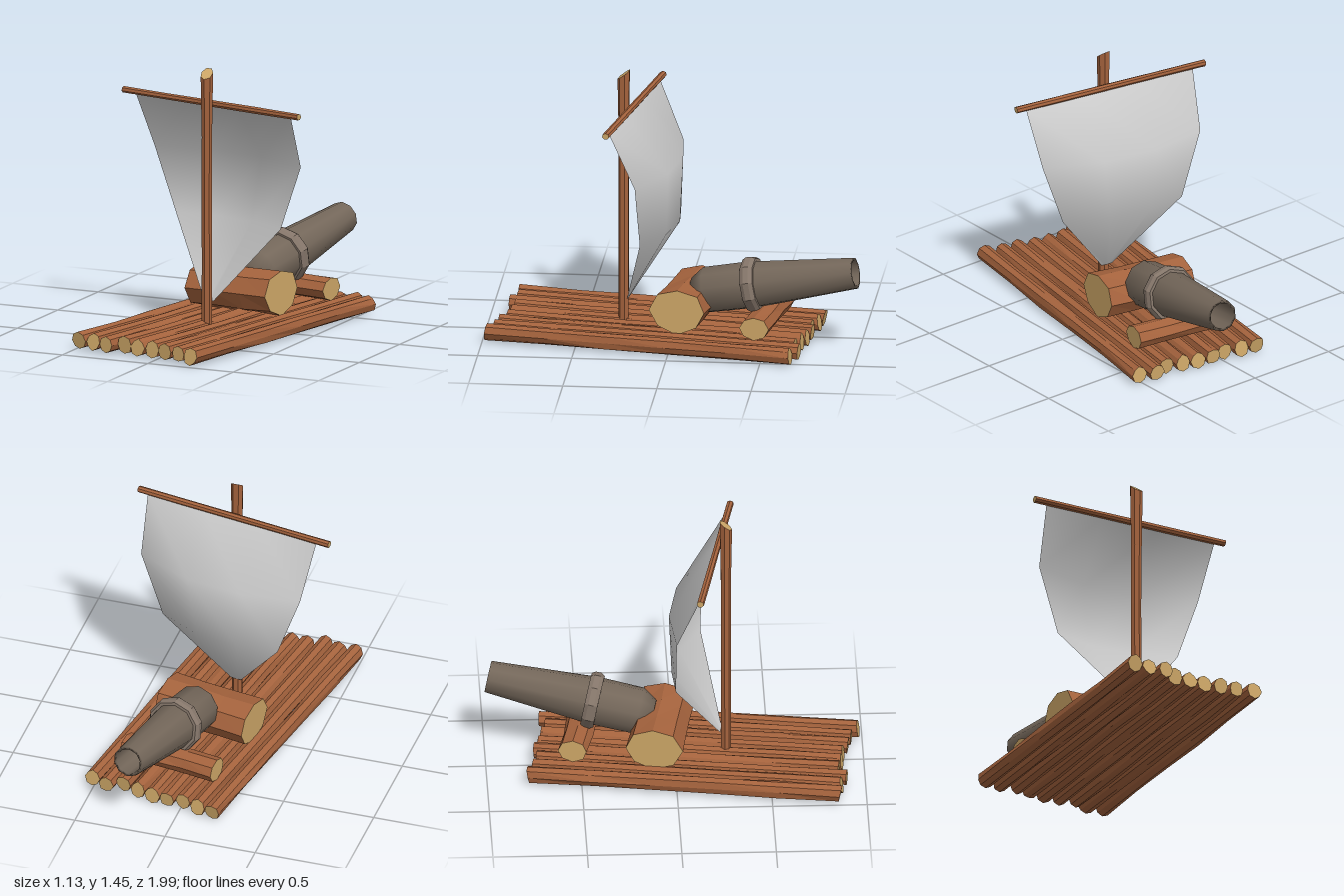
import * as THREE from 'three';

const bark = new THREE.MeshStandardMaterial({ color: 0xa5633d, flatShading: true });
const cutWood = new THREE.MeshStandardMaterial({ color: 0xcfa868, flatShading: true });
const iron = new THREE.MeshStandardMaterial({ color: 0x74675a, side: THREE.DoubleSide });
const bandIron = new THREE.MeshStandardMaterial({ color: 0x85766a, flatShading: true });
const cloth = new THREE.MeshStandardMaterial({ color: 0xcccccc, side: THREE.DoubleSide });

const V = (x, y, z) => new THREE.Vector3(x, y, z);

// Repeatable pseudo-random value in -1..1
function noise(a, b, c) {
  const s = Math.sin(a * 12.99 + b * 78.23 + c * 37.72) * 43758.55;
  return (s - Math.floor(s)) * 2 - 1;
}

// Turns an object whose axis is +y so that it runs from a to b
function alignTo(object, a, b) {
  const dir = b.clone().sub(a).normalize();
  const ref = Math.abs(dir.y) > 0.9 ? V(0, 0, 1) : V(0, 1, 0);
  const side = dir.clone().cross(ref).normalize();
  const up = side.clone().cross(dir);
  object.quaternion.setFromRotationMatrix(new THREE.Matrix4().makeBasis(side, dir, up));
  object.position.copy(a).add(b).multiplyScalar(0.5);
}

// Roughly hewn log with pale cut ends; width/height are the half sizes of its section
function log(name, a, b, { width, height, sides = 8, rings = 4, rough = 0.1, seed = 0, tilt = 0.2, flare = 0 }) {
  const len = a.distanceTo(b);
  const geo = new THREE.CylinderGeometry(1, 1, len, sides, rings);
  const p = geo.attributes.position;
  for (let i = 0; i < p.count; i++) {
    const x = p.getX(i), y = p.getY(i), z = p.getZ(i);
    const k = (Math.round(Math.atan2(z, x) / (Math.PI * 2) * sides * 2) + sides * 2) % (sides * 2);
    const ring = Math.round((y / len + 0.5) * rings);
    const r = 1 + rough * (noise(k, ring, seed) * 0.6 + noise(k, 9, seed) * 0.4) + (ring === rings ? flare : 0);
    const end = ring === 0 ? -1 : ring === rings ? 1 : 0;
    const bend = noise(ring, 3, seed) * rough * 0.5 * width * (end ? 0 : 1);
    p.setXYZ(i, x * r * width + bend, y + end * tilt * (z * height * r), z * r * height);
  }
  geo.computeVertexNormals();
  const mesh = new THREE.Mesh(geo, [bark, cutWood, cutWood]);
  mesh.name = name;
  alignTo(mesh, a, b);
  return mesh;
}

// Deck: nine logs side by side, lying slightly skewed
function buildDeck() {
  const deck = new THREE.Group();
  deck.name = 'raftDeck';
  const front = [0.86, 0.87, 0.9, 0.86, 0.88, 0.89, 0.92, 0.94, 0.98];
  const back = [-0.78, -0.76, -0.73, -0.74, -0.72, -0.7, -0.67, -0.7, -0.66];
  for (let i = 0; i < 9; i++) {
    const a = V(-0.47 + i * 0.0885, 0.06, front[i]);
    const b = V(-0.19 + i * 0.0875, 0.055, back[i]);
    deck.add(log('deckLog' + (i + 1), a, b, {
      width: 0.041, height: 0.045, rings: 5, rough: 0.18, seed: i + 1, tilt: 0.25 * noise(i, 1, 5),
    }));
  }
  return deck;
}

// Sail: four rows sagging backwards and tapering to the foot of the mast
function buildSail() {
  const rows = [
    [[-0.485, 0.12], [-0.155, 0.18], [0.175, 0.24], [0.505, 0.3], 1.25],
    [[-0.435, -0.005], [-0.11, -0.035], [0.2, 0.015], [0.5, 0.165], 0.95],
    [[-0.31, -0.005], [-0.09, -0.02], [0.15, 0.03], [0.375, 0.15], 0.6],
    [[-0.03, 0.24], [-0.01, 0.242], [0.01, 0.245], [0.03, 0.25], 0.2],
  ];
  const pos = [], index = [];
  rows.forEach((row, r) => {
    for (let c = 0; c < 4; c++) {
      pos.push(row[c][0], row[4], row[c][1]);
      if (r < 3 && c < 3) {
        const i = r * 4 + c;
        index.push(i, i + 4, i + 1, i + 1, i + 4, i + 5);
      }
    }
  });
  const geo = new THREE.BufferGeometry();
  geo.setAttribute('position', new THREE.Float32BufferAttribute(pos, 3));
  geo.setIndex(index);
  geo.computeVertexNormals();
  const sail = new THREE.Mesh(geo, cloth);
  sail.name = 'sail';
  return sail;
}

// Cannon: tapered hollow barrel with a rounded breech and a reinforcing band
function buildCannon() {
  const cannon = new THREE.Group();
  cannon.name = 'cannon';
  const a = V(0.07, 0.265, -0.11), b = V(0.21, 0.432, -0.98);
  const half = a.distanceTo(b) / 2;
  const profile = [[0, -half], [0.075, -half], [0.125, -half + 0.075], [0.128, -half + 0.32],
    [0.085, half], [0.07, half], [0.075, half - 0.3], [0, half - 0.3]];
  const barrel = new THREE.Mesh(
    new THREE.LatheGeometry(profile.map(q => new THREE.Vector2(...q)), 10), iron);
  barrel.name = 'barrel';
  const bandProfile = [[0.11, -0.035], [0.14, -0.035], [0.152, -0.015], [0.152, 0.015], [0.14, 0.035], [0.11, 0.035]];
  const band = new THREE.Mesh(
    new THREE.LatheGeometry(bandProfile.map(q => new THREE.Vector2(...q)), 10), bandIron);
  band.name = 'barrelBand';
  band.position.y = -half + 0.33;
  cannon.add(barrel, band);
  alignTo(cannon, a, b);
  return cannon;
}

export function createModel() {
  const model = new THREE.Group();
  model.name = 'raft';
  model.add(buildDeck());

  // Mast with a slanted top, and the yard carrying the sail
  model.add(log('mast', V(0, 0.07, 0.27), V(0, 1.432, 0.27),
    { width: 0.029, height: 0.028, sides: 7, rings: 4, rough: 0.06, seed: 21, tilt: -0.75, flare: 0.2 }));
  model.add(log('yard', V(-0.56, 1.265, 0.115), V(0.56, 1.257, 0.315),
    { width: 0.019, height: 0.018, sides: 7, rings: 4, rough: 0.12, seed: 31, tilt: 0 }));
  model.add(buildSail());

  // Cross logs that cradle the cannon
  model.add(log('breechSupportLog', V(-0.215, 0.205, -0.125), V(0.29, 0.215, -0.04),
    { width: 0.148, height: 0.118, sides: 8, rings: 3, rough: 0.1, seed: 43, tilt: 0 }));
  model.add(log('barrelSupportLog', V(-0.145, 0.165, -0.545), V(0.385, 0.162, -0.455),
    { width: 0.078, height: 0.062, sides: 8, rings: 3, rough: 0.12, seed: 52, tilt: 0 }));
  model.add(buildCannon());
  return model;
}
